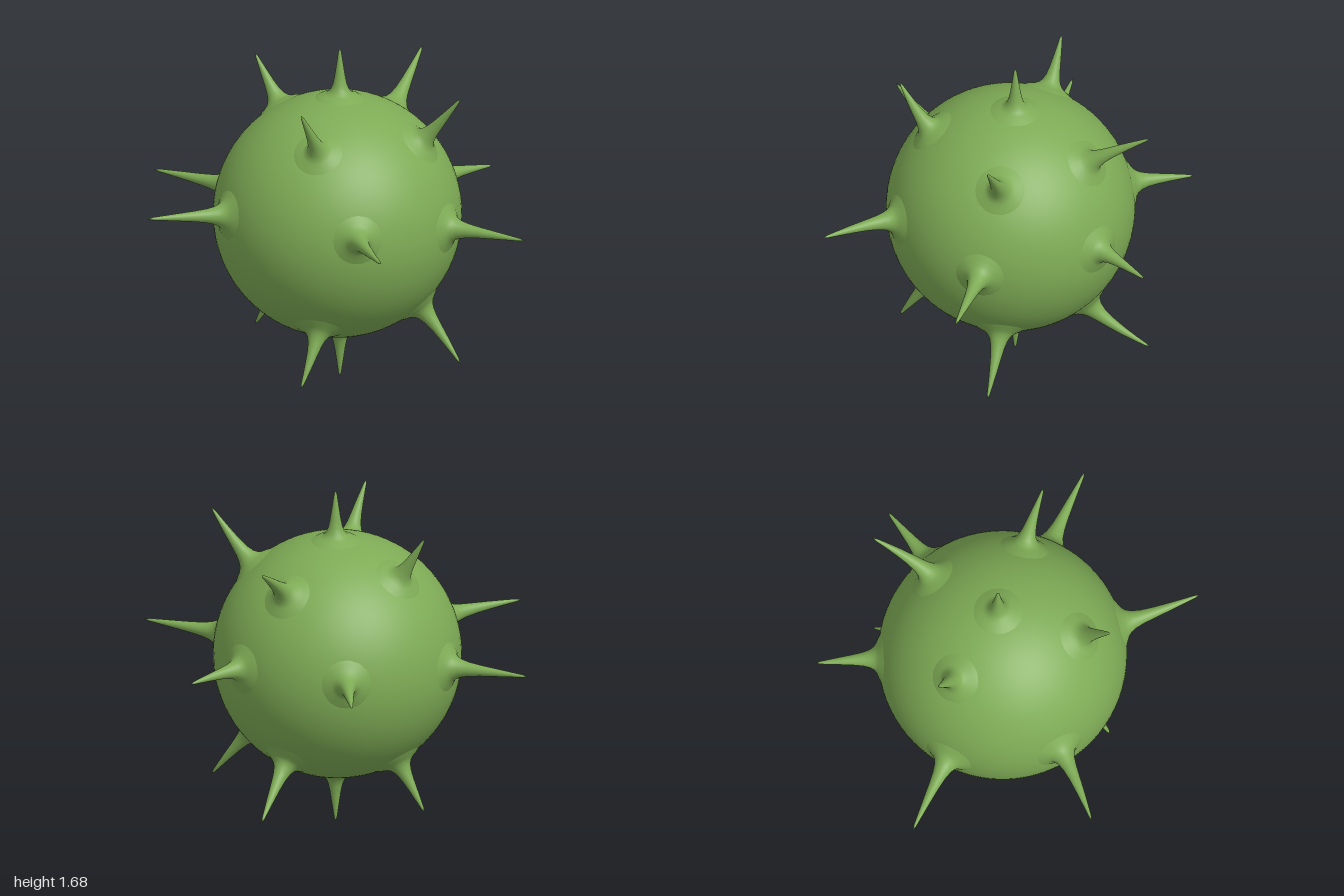
import * as THREE from 'three';
import { mergeVertices } from 'three/addons/utils/BufferGeometryUtils.js';

const CENTER = new THREE.Vector3(0, 0.843, 0.018);
const RADIUS = 0.595;
const UP = new THREE.Vector3(0, 1, 0);

// Flared spike outline: [fraction of length, radius]
const PROFILE = [
  [-0.06, 0.125], [0, 0.096], [0.05, 0.073], [0.11, 0.057], [0.2, 0.044], [0.33, 0.034],
  [0.5, 0.026], [0.68, 0.019], [0.84, 0.012], [0.95, 0.007], [1, 0],
];

// Spike that leaves the ball along its normal and bends gently towards its tip
function spikeGeometry(root, tip) {
  const normal = root.clone().sub(CENTER).normalize();
  const base = CENTER.clone().addScaledVector(normal, RADIUS);
  const length = base.distanceTo(tip);
  const bend = base.clone().addScaledVector(normal, length * 0.3);
  const curve = new THREE.QuadraticBezierCurve3(base, bend, tip);

  const points = PROFILE.map(([h, r]) => new THREE.Vector2(r, h));
  const geo = new THREE.LatheGeometry(points, 28);
  const pos = geo.attributes.position;
  const v = new THREE.Vector3();
  const q = new THREE.Quaternion();
  for (let i = 0; i < pos.count; i++) {
    v.fromBufferAttribute(pos, i);
    const t = Math.max(v.y, 0);
    const sink = v.y < 0 ? -0.016 : 0;
    q.setFromUnitVectors(UP, curve.getTangent(t));
    v.y = sink;
    v.applyQuaternion(q).add(curve.getPoint(t));
    pos.setXYZ(i, v.x, v.y, v.z);
  }
  geo.deleteAttribute('uv');
  geo.deleteAttribute('normal');
  const merged = mergeVertices(geo, 1e-5);
  merged.computeVertexNormals();
  return merged;
}

export function createModel() {
  const model = new THREE.Group();
  model.name = 'spikyBall';
  const green = new THREE.MeshStandardMaterial({ color: 0x7eab55 });
  green.name = 'leaf green';

  // Round body
  const body = new THREE.Mesh(new THREE.SphereGeometry(RADIUS, 80, 56), green);
  body.name = 'body';
  body.position.copy(CENTER);
  model.add(body);

  const addSpike = (name, root, tip) => {
    const mesh = new THREE.Mesh(
      spikeGeometry(new THREE.Vector3(...root), new THREE.Vector3(...tip)), green);
    mesh.name = name;
    model.add(mesh);
  };

  // Equator spikes, mirrored left and right
  for (const [side, s] of [['left', 1], ['right', -1]]) {
    addSpike(`${side}SideSpike`, [s * 0.59, 0.868, 0], [s, 0.878, 0]);
    addSpike(`${side}FrontSpike`, [s * 0.36, 0.93, 0.49], [s * 0.63, 0.958, 0.77]);
    addSpike(`${side}BackSpike`, [s * 0.28, 0.9, -0.51], [s * 0.42, 0.89, -0.77]);
  }

  // Upper and lower spikes, mirrored about the middle height
  const slanted = [
    ['Pole', [0, 1.44, -0.005], [0, 1.68, -0.005]],
    ['Front', [0.09, 1.3, 0.39], [0.08, 1.54, 0.545]],
    ['Back', [0.09, 1.28, -0.41], [0.08, 1.468, -0.7]],
    ['Right', [-0.36, 1.31, -0.07], [-0.5, 1.533, -0.09]],
    ['Left', [0.42, 1.27, -0.05], [0.627, 1.518, -0.05]],
  ];
  const flip = ([x, y, z]) => [x, 1.68 - y, z];
  for (const [name, root, tip] of slanted) {
    addSpike(`upper${name}Spike`, root, tip);
    addSpike(`lower${name}Spike`, flip(root), flip(tip));
  }
  return model;
}
